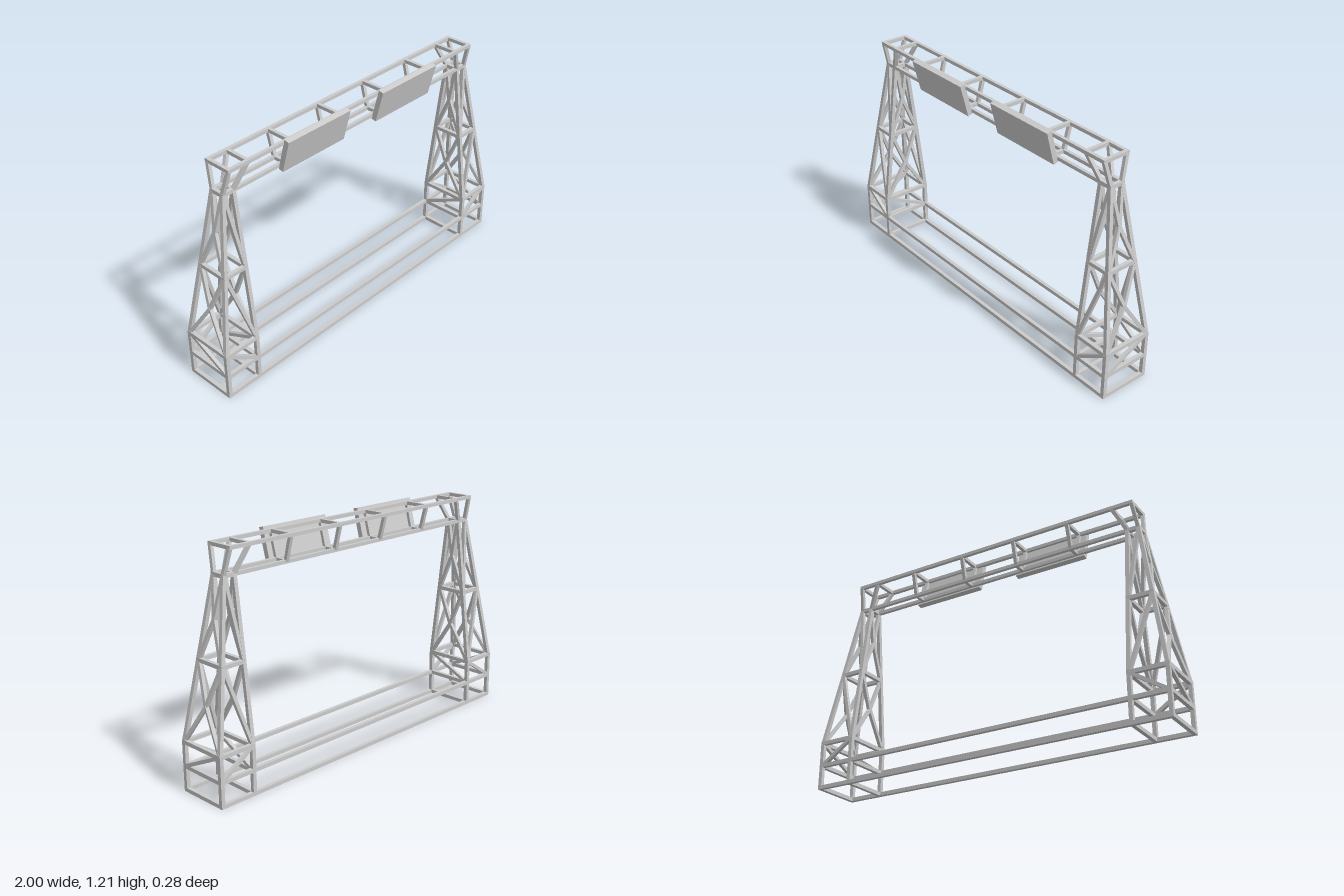
import * as THREE from 'three';

const material = new THREE.MeshStandardMaterial({ color: 0xcccccc, flatShading: true });
const V = (x, y, z) => new THREE.Vector3(x, y, z);

// Square bar between two points
function bar(parent, name, a, b, t = 0.02, extend = 0) {
  const dir = b.clone().sub(a);
  const mesh = new THREE.Mesh(new THREE.BoxGeometry(t, t, dir.length() + extend), material);
  const z = dir.normalize();
  const up = Math.abs(z.y) > 0.85 ? V(0, 0, 1) : V(0, 1, 0);
  const x = up.cross(z).normalize();
  const y = z.clone().cross(x);
  mesh.quaternion.setFromRotationMatrix(new THREE.Matrix4().makeBasis(x, y, z));
  mesh.position.copy(a).add(b).multiplyScalar(0.5);
  mesh.name = name;
  parent.add(mesh);
}

// Four corners of a tower level: front outer, back outer, back inner, front inner
function level(side, y, outer, inner, depth) {
  return [[outer, depth], [outer, -depth], [inner, -depth], [inner, depth]]
    .map(([x, z]) => V(side * x, y, z));
}

function createTower(side) {
  const tower = new THREE.Group();
  tower.name = side > 0 ? 'leftTower' : 'rightTower';
  const levels = [
    level(side, 0.01, 0.99, 0.8, 0.13),
    level(side, 0.13, 0.99, 0.8, 0.13),
    level(side, 0.255, 0.99, 0.8, 0.13),
    level(side, 0.655, 0.922, 0.798, 0.082),
    level(side, 1.055, 0.855, 0.796, 0.033),
  ];
  levels.forEach((ring, k) => {
    for (let i = 0; i < 4; i++) {
      const j = (i + 1) % 4;
      bar(tower, 'ringBar', ring[i], ring[j], 0.02, 0.018);
      if (k === 0) continue;
      const below = levels[k - 1];
      bar(tower, 'leg', below[i], ring[i]);
      // Crossing braces of the base cage
      if (k === 2) bar(tower, 'baseBrace', below[i], ring[j], 0.018);
      if (k < 3) continue;
      if (i % 2 === 0) {
        // Four struts meeting in the middle of the outer and inner faces
        const hub = below[i].clone().add(below[j]).add(ring[i]).add(ring[j]).multiplyScalar(0.25);
        for (const corner of [below[i], below[j], ring[i], ring[j]]) {
          bar(tower, 'sideBrace', corner, hub, 0.018, 0.01);
        }
      } else {
        // Single diagonal on the front and back faces
        const inner = i === 1 ? j : i;
        const outer = i === 1 ? i : j;
        bar(tower, 'faceBrace', below[inner], ring[outer], 0.018);
      }
    }
  });
  return tower;
}

function createGantry() {
  const gantry = new THREE.Group();
  gantry.name = 'gantry';
  const top = 1.187, low = 1.055, wide = 0.068, narrow = 0.033;
  for (const z of [1, -1]) {
    bar(gantry, 'topRail', V(-0.84, top, z * wide), V(0.84, top, z * wide), 0.018, 0.018);
    bar(gantry, 'bottomRail', V(-0.855, low, z * narrow), V(0.855, low, z * narrow), 0.018);
    for (const s of [1, -1]) {
      bar(gantry, 'endPost', V(s * 0.855, low, z * narrow), V(s * 0.84, top, z * wide), 0.018);
      bar(gantry, 'endBrace', V(s * 0.796, low, z * narrow), V(s * 0.73, top, z * wide), 0.018);
      for (const x of [0.48, 0.16]) {
        bar(gantry, 'strut', V(s * x, low, z * narrow), V(s * x, top, z * wide), 0.018);
      }
    }
  }
  for (const s of [1, -1]) {
    for (const x of [0.84, 0.73, 0.48, 0.16]) {
      bar(gantry, 'topCrossbar', V(s * x, top, -wide), V(s * x, top, wide), 0.018);
    }
    for (const x of [0.48, 0.16]) {
      bar(gantry, 'bottomCrossbar', V(s * x, low, -narrow), V(s * x, low, narrow), 0.018);
    }
  }
  return gantry;
}

export function createModel() {
  const model = new THREE.Group();
  model.name = 'gantryFrame';
  model.add(createTower(1), createTower(-1), createGantry());

  // Long rails joining the two tower bases
  for (const y of [0.01, 0.13]) {
    for (const z of [0.13, -0.13]) {
      bar(model, 'baseRail', V(-0.8, y, z), V(0.8, y, z));
    }
  }

  // Tilted panels on the front of the gantry
  for (const s of [1, -1]) {
    const panel = new THREE.Mesh(new THREE.BoxGeometry(0.405, 0.178, 0.028), material);
    panel.name = 'signPanel';
    panel.position.set(s * 0.317, 1.119, 0.072);
    panel.rotation.x = 0.26;
    model.add(panel);
  }
  return model;
}
